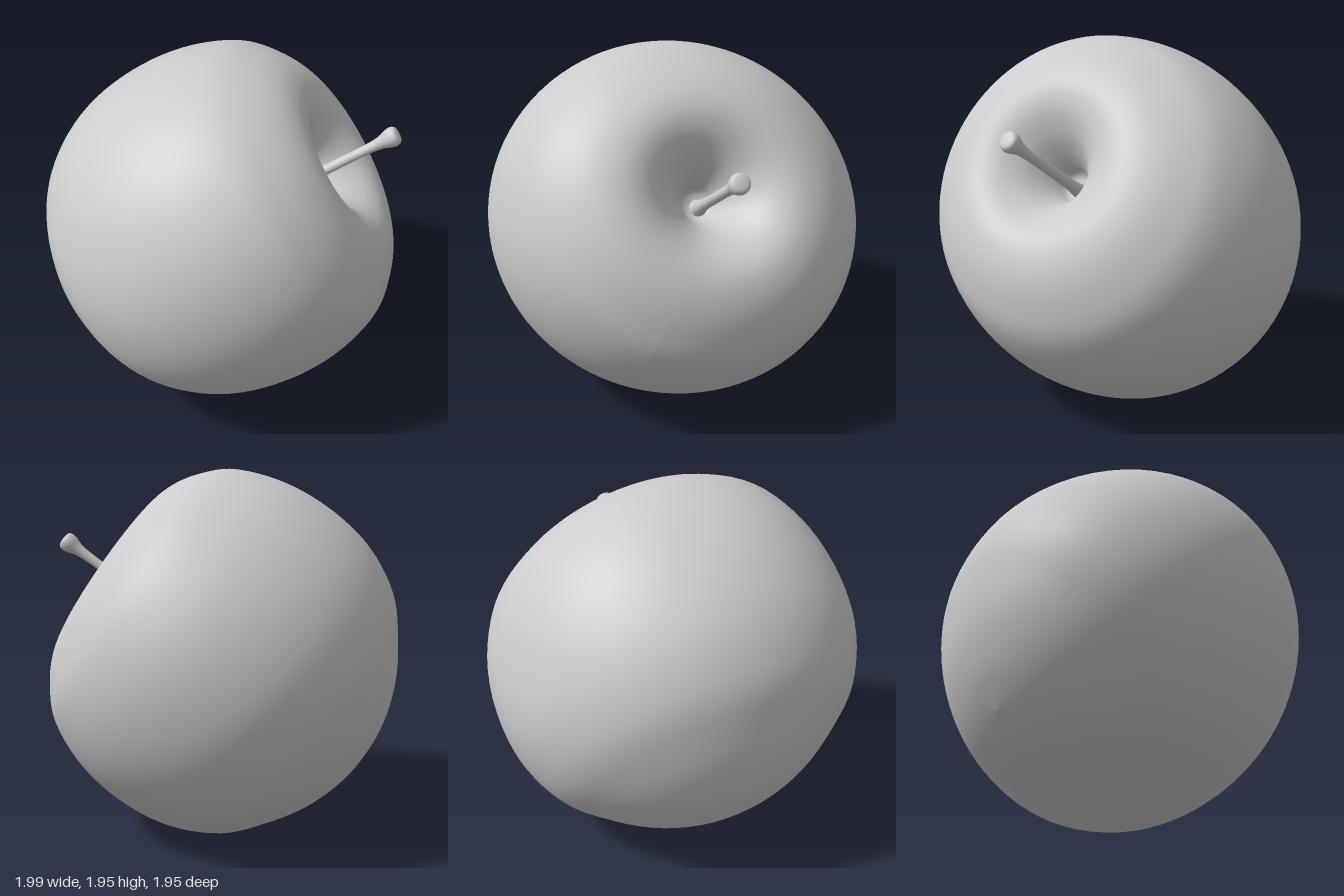
import * as THREE from 'three';

// Lathe a smooth curve through a few [radius, height] points
function turned(points, steps, segments) {
  const curve = new THREE.SplineCurve(points.map(([r, h]) => new THREE.Vector2(r, h)));
  const profile = curve.getPoints(steps);
  profile.forEach((p) => { p.x = Math.max(p.x, 0); });
  return new THREE.LatheGeometry(profile, segments);
}

export function createModel() {
  const group = new THREE.Group();
  group.name = 'apple';
  const material = new THREE.MeshStandardMaterial({ color: 0xcccccc, roughness: 0.8 });

  // The core axis leans towards the front, the left and up;
  // the fruit is widest sideways, square to that axis
  const axis = new THREE.Vector3(1, 1, 1).normalize();
  const wide = new THREE.Vector3(1, 0, 0).projectOnPlane(axis).normalize();
  const narrow = new THREE.Vector3().crossVectors(wide, axis);
  const tilt = new THREE.Matrix4().makeBasis(wide, axis, narrow);

  // Fruit: round base, full shoulders and a narrow stem hollow
  const fruit = turned([
    [0, -0.93], [0.22, -0.905], [0.44, -0.825], [0.64, -0.695], [0.82, -0.53],
    [0.945, -0.28], [0.985, 0], [0.955, 0.28], [0.855, 0.53], [0.72, 0.67], [0.58, 0.755],
    [0.44, 0.785], [0.32, 0.755], [0.215, 0.675], [0.15, 0.59], [0.105, 0.51], [0.07, 0.44], [0, 0.42],
  ], 90, 96);
  fruit.scale(1.015, 1, 0.955);

  // The shoulder is lower on one side
  const pos = fruit.attributes.position;
  for (let i = 0; i < pos.count; i++) {
    const h = pos.getY(i);
    pos.setY(i, h - 0.05 * pos.getX(i) * Math.max(h, 0));
  }
  fruit.computeVertexNormals();
  fruit.applyMatrix4(tilt);
  fruit.translate(0, 0.967, 0);
  const body = new THREE.Mesh(fruit, material);
  body.name = 'fruit';
  group.add(body);

  // Stem: thin stalk with a flared root and a rounded knob
  const stalk = turned([
    [0, 0.38], [0.05, 0.39], [0.036, 0.47], [0.028, 0.58], [0.026, 0.75], [0.026, 0.9],
    [0.033, 0.98], [0.049, 1.03], [0.051, 1.06], [0.038, 1.08], [0, 1.085],
  ], 40, 20);
  stalk.applyMatrix4(tilt);
  stalk.translate(0.02, 0.955, -0.005);
  const stem = new THREE.Mesh(stalk, material);
  stem.name = 'stem';
  group.add(stem);

  return group;
}
